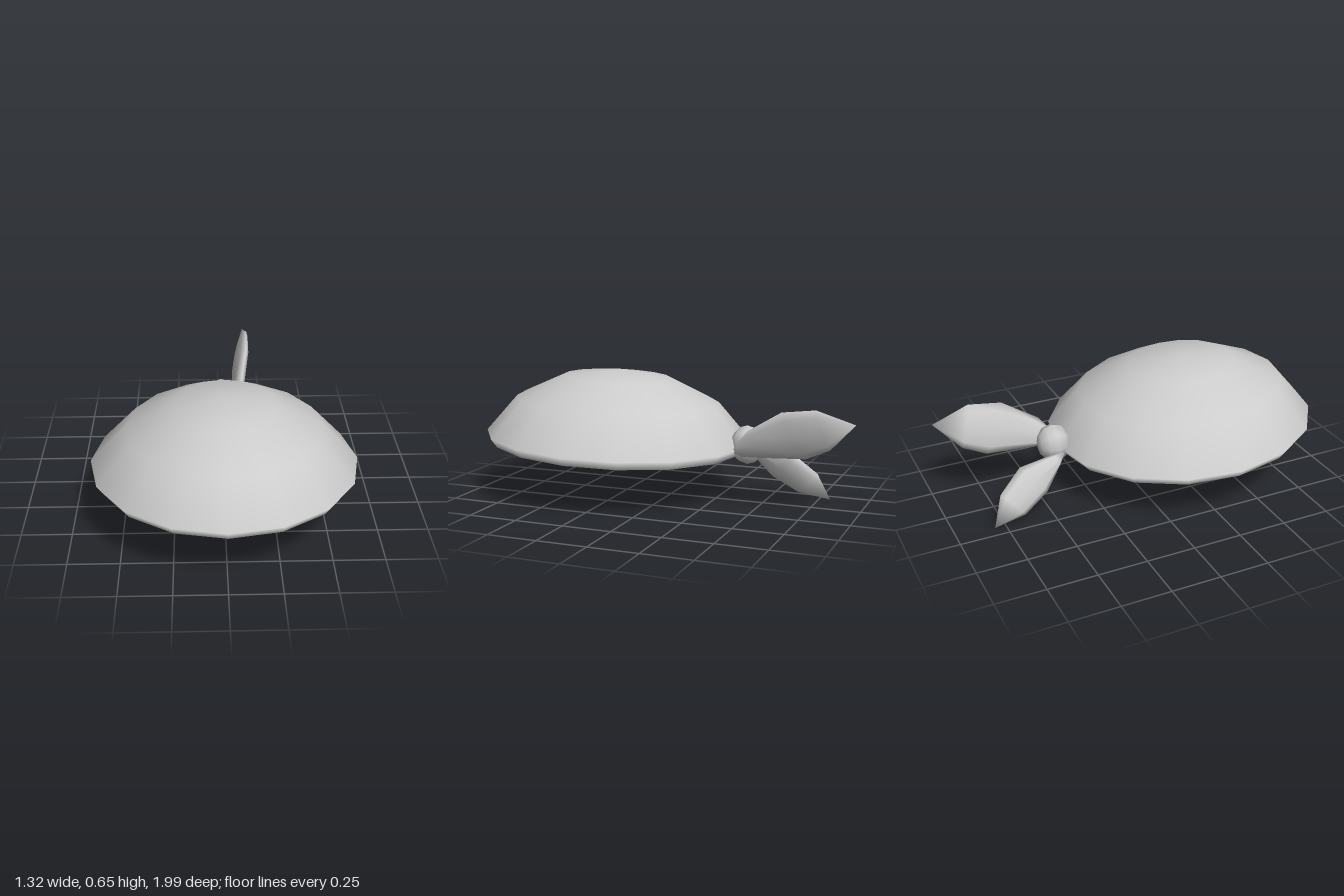
import * as THREE from 'three';
import { mergeVertices } from 'three/addons/utils/BufferGeometryUtils.js';

const material = new THREE.MeshStandardMaterial({ color: 0xcccccc, side: THREE.DoubleSide });

// Skins a stack of closed rings of points; a ring of equal points makes a tip.
function loft(rings, name) {
  const n = rings[0].length;
  const pos = rings.flat().flatMap((p) => [p.x, p.y, p.z]);
  const index = [];
  for (let r = 0; r < rings.length - 1; r++) {
    for (let i = 0; i < n; i++) {
      const a = r * n + i, b = r * n + ((i + 1) % n);
      index.push(a, b, b + n, a, b + n, a + n);
    }
  }
  let geo = new THREE.BufferGeometry();
  geo.setAttribute('position', new THREE.Float32BufferAttribute(pos, 3));
  geo.setIndex(index);
  geo = mergeVertices(geo, 1e-5);
  geo.computeVertexNormals();
  const mesh = new THREE.Mesh(geo, material);
  mesh.name = name;
  return mesh;
}

// Oval ring of the shell, tipped slightly up toward the front.
function shellRing([rx, rz, y]) {
  return Array.from({ length: 16 }, (_, i) => {
    const a = (i / 16) * Math.PI * 2;
    const z = rz * Math.cos(a);
    return new THREE.Vector3(rx * Math.sin(a), y + 0.036 * z, 0.3 + z);
  });
}

// Leaf in a leaning plane x = x0 + slope * y.
// Stations: upper edge z, y; lower edge z, y; half thickness.
function leaf(name, x0, slope, stations) {
  const normal = new THREE.Vector3(1, -slope, 0).normalize();
  const point = (z, y) => new THREE.Vector3(x0 + slope * y, y, z);
  const rings = stations.map(([uz, uy, lz, ly, thick]) => {
    const up = point(uz, uy), low = point(lz, ly);
    const centre = up.clone().add(low).multiplyScalar(0.5);
    const half = up.sub(low).multiplyScalar(0.5);
    return Array.from({ length: 8 }, (_, i) => {
      const a = (i / 8) * Math.PI * 2;
      return centre.clone()
        .addScaledVector(half, Math.cos(a))
        .addScaledVector(normal, thick * Math.sin(a));
    });
  });
  return loft(rings, name);
}

export function createModel() {
  const model = new THREE.Group();
  model.name = 'domeWithLeaves';

  // Domed shell with a narrow undercut rim, and its flat underside
  const profile = [[0.63, 0.67, 0.26], [0.66, 0.7, 0.303], [0.48, 0.54, 0.492], [0.25, 0.285, 0.612], [0, 0, 0.65]];
  model.add(loft(profile.map(shellRing), 'domeShell'));
  model.add(loft([[0, 0, 0.26], profile[0]].map(shellRing), 'underside'));

  // Small knot at the back edge, its pole pointing backward
  const knotGeo = new THREE.SphereGeometry(1, 8, 6).rotateX(Math.PI / 2);
  const knot = new THREE.Mesh(knotGeo, material);
  knot.name = 'knot';
  knot.scale.set(0.09, 0.1, 0.085);
  knot.position.set(0, 0.297, -0.415);
  model.add(knot);

  // Long raised leaf on the left
  model.add(leaf('upperLeaf', 0.01, 0.28, [
    [-0.36, 0.27, -0.36, 0.27, 0],
    [-0.39, 0.32, -0.41, 0.25, 0.02],
    [-0.45, 0.39, -0.49, 0.252, 0.028],
    [-0.63, 0.5, -0.74, 0.265, 0.032],
    [-0.8, 0.522, -0.86, 0.32, 0.025],
    [-0.99, 0.46, -0.99, 0.46, 0],
  ]));

  // Short drooping leaf on the right
  model.add(leaf('lowerLeaf', -0.188, 0.4, [
    [-0.38, 0.28, -0.38, 0.28, 0],
    [-0.45, 0.275, -0.42, 0.22, 0.02],
    [-0.63, 0.25, -0.51, 0.11, 0.032],
    [-0.75, 0.145, -0.64, 0.03, 0.028],
    [-0.805, 0.003, -0.805, 0.003, 0],
  ]));

  return model;
}
